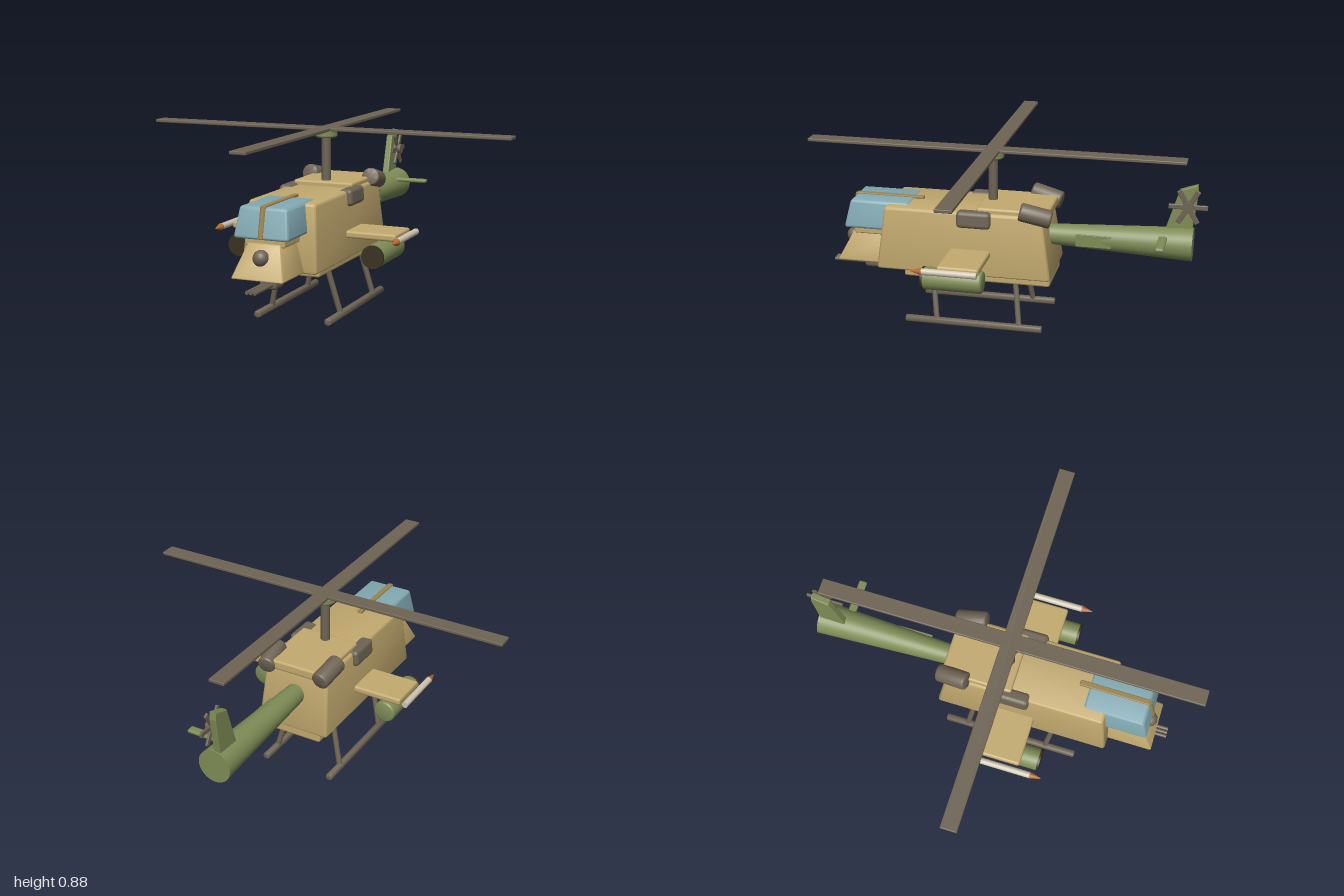
import * as THREE from 'three';
import { toCreasedNormals } from 'three/addons/utils/BufferGeometryUtils.js';
import { RoundedBoxGeometry } from 'three/addons/geometries/RoundedBoxGeometry.js';

const paint = (name, color) => {
  const m = new THREE.MeshStandardMaterial({ color });
  m.name = name;
  return m;
};

export function createModel() {
  const model = new THREE.Group();
  model.name = 'helicopter';

  const tan = paint('sand tan', 0xc3aa6f);
  const bronze = paint('bronze trim', 0x9c8450);
  const green = paint('olive green', 0x7f8c56);
  const grey = paint('warm grey', 0x6e6454);
  const glass = paint('canopy glass', 0x84abb4);
  const dark = paint('dark brown', 0x3b3120);
  const cream = paint('cream', 0xcfc6b2);
  const orange = paint('orange', 0xb8682f);

  const add = (name, geometry, material, x = 0, y = 0, z = 0, parent = model) => {
    const mesh = new THREE.Mesh(geometry, material);
    mesh.name = name;
    mesh.position.set(x, y, z);
    parent.add(mesh);
    return mesh;
  };

  // Rounded box spanning x, y and z ranges
  const block = (name, material, [x0, x1], [y0, y1], [z0, z1], r = 0.01, parent = model) =>
    add(name, new RoundedBoxGeometry(x1 - x0, y1 - y0, z1 - z0, 2, r), material,
      (x0 + x1) / 2, (y0 + y1) / 2, (z0 + z1) / 2, parent);

  // Rounded block tapering between bottom and top sections [y, halfWidth, zBack, zFront]
  const taperedBlock = (name, material, [y0, w0, b0, f0], [y1, w1, b1, f1], r) => {
    const h = y1 - y0, d = f0 - b0, mix = THREE.MathUtils.lerp;
    const g = new RoundedBoxGeometry(w0 * 2, h, d, 3, r);
    const p = g.attributes.position;
    for (let i = 0; i < p.count; i++) {
      const t = p.getY(i) / h + 0.5;
      p.setXYZ(i,
        p.getX(i) / w0 * mix(w0, w1, t),
        y0 + t * h,
        mix(mix(b0, b1, t), mix(f0, f1, t), p.getZ(i) / d + 0.5));
    }
    return add(name, toCreasedNormals(g, 0.6), material);
  };

  // Cylinder between two points
  const UP = new THREE.Vector3(0, 1, 0);
  const rod = (name, material, from, to, r0, r1 = r0, sides = 20, parent = model) => {
    const a = new THREE.Vector3(...from), b = new THREE.Vector3(...to);
    const dir = b.clone().sub(a);
    const mesh = add(name, new THREE.CylinderGeometry(r1, r0, dir.length(), sides), material, 0, 0, 0, parent);
    mesh.position.copy(a).add(b).multiplyScalar(0.5);
    mesh.quaternion.setFromUnitVectors(UP, dir.normalize());
    return mesh;
  };

  // Barrel with rounded rims between two points
  const barrel = (name, material, from, to, r, bevel) => {
    const a = new THREE.Vector3(...from), b = new THREE.Vector3(...to);
    const dir = b.clone().sub(a), h = dir.length() / 2, pts = [new THREE.Vector2(0, -h)];
    for (const s of [-1, 1]) {
      for (let i = 0; i <= 4; i++) {
        const q = (s < 0 ? i : 4 - i) / 4 * Math.PI / 2;
        pts.push(new THREE.Vector2(r - bevel + bevel * Math.sin(q), s * (h - bevel + bevel * Math.cos(q))));
      }
    }
    pts.push(new THREE.Vector2(0, h));
    const mesh = add(name, toCreasedNormals(new THREE.LatheGeometry(pts, 24), 0.7), material);
    mesh.position.copy(a).add(b).multiplyScalar(0.5);
    mesh.quaternion.setFromUnitVectors(UP, dir.normalize());
    return mesh;
  };

  // Fuselage
  taperedBlock('fuselage', tan, [0.275, 0.192, -0.27, 0.61], [0.595, 0.168, -0.22, 0.57], 0.015);
  block('belly', tan, [-0.148, 0.148], [0.23, 0.29], [-0.26, 0.48], 0.012);
  block('engineDeck', tan, [-0.155, 0.155], [0.57, 0.62], [-0.25, 0.105], 0.012);
  taperedBlock('nose', tan, [0.28, 0.13, 0.5, 0.835], [0.435, 0.08, 0.5, 0.755], 0.008);
  block('canopyBase', tan, [-0.1, 0.1], [0.42, 0.47], [0.5, 0.75], 0.008);
  add('noseSensor', new THREE.SphereGeometry(0.038, 24, 16), grey, 0, 0.375, 0.785);

  // Canopy with its centre frame strip
  taperedBlock('canopy', glass, [0.458, 0.137, 0.44, 0.793], [0.601, 0.117, 0.46, 0.76], 0.014);
  block('canopyTopStrip', bronze, [-0.014, 0.014], [0.59, 0.608], [0.41, 0.76], 0.004);
  rod('canopyFrontStrip', bronze, [0, 0.462, 0.786], [0, 0.6, 0.755], 0.015, 0.015, 8);

  // Chin gun
  block('gunTurret', grey, [-0.043, 0.043], [0.215, 0.285], [0.63, 0.725], 0.018);
  for (const x of [-0.02, 0, 0.02]) rod('gunBarrel', grey, [x, 0.24, 0.7], [x, 0.24, 0.89], 0.009, 0.009, 12);

  // Main rotor
  const rotorZ = 0.055;
  rod('mast', grey, [0, 0.59, rotorZ], [0, 0.85, rotorZ], 0.023);
  barrel('rotorHub', green, [0, 0.832, rotorZ], [0, 0.872, rotorZ], 0.055, 0.01);
  block('rotorBlades', grey, [-0.94, 0.94], [0.866, 0.882], [rotorZ - 0.04, rotorZ + 0.04], 0.004);
  block('rotorBlades', grey, [-0.04, 0.04], [0.866, 0.882], [rotorZ - 0.945, rotorZ + 0.945], 0.004);

  // Tail boom, fin and stabiliser
  rod('tailBoom', green, [0, 0.46, -0.2], [0, 0.46, -0.935], 0.049, 0.083, 32);
  block('boomPanel', green, [0.03, 0.062], [0.425, 0.487], [-0.545, -0.37], 0.002);
  block('stabiliser', green, [0.04, 0.23], [0.49, 0.51], [-0.815, -0.773], 0.009);
  const finShape = new THREE.Shape([[0.79, 0.5], [0.86, 0.73], [0.945, 0.76], [0.95, 0.72], [0.925, 0.5]]
    .map(([z, y]) => new THREE.Vector2(z, y)));
  const fin = new THREE.ExtrudeGeometry(finShape, {
    depth: 0.024, bevelEnabled: true, bevelSize: 0.004, bevelThickness: 0.005, bevelOffset: -0.004, bevelSegments: 2,
  });
  fin.rotateY(Math.PI / 2);
  add('tailFin', fin, green, -0.026, 0, 0);

  // Tail rotor
  const tailRotor = new THREE.Group();
  tailRotor.name = 'tailRotor';
  tailRotor.position.set(0.02, 0.655, -0.905);
  model.add(tailRotor);
  rod('tailRotorHub', grey, [-0.02, 0, 0], [0.022, 0, 0], 0.026, 0.026, 20, tailRotor);
  for (let i = 0; i < 3; i++) {
    const blade = block('tailRotorBlade', grey, [-0.006, 0.006], [-0.0125, 0.0125], [-0.094, 0.094], 0.004, tailRotor);
    blade.rotation.x = i * Math.PI / 3;
  }

  // Paired parts on both sides
  for (const s of [-1, 1]) {
    const span = (a, b) => (s > 0 ? [a, b] : [-b, -a]);

    // Engines
    const intake = block('engineIntake', grey, span(0.127, 0.195), [0.52, 0.604], [0.03, 0.2], 0.02);
    intake.rotation.z = s * 0.07;
    barrel('engineExhaust', grey, [s * 0.166, 0.622, -0.112], [s * 0.148, 0.585, -0.265], 0.045, 0.012);

    // Stub wing, pod and rocket
    block('stubWing', tan, span(0.1, 0.432), [0.375, 0.411], [0.03, 0.235], 0.012);
    barrel('weaponPod', green, [s * 0.35, 0.315, 0.025], [s * 0.35, 0.315, 0.322], 0.056, 0.012);
    rod('podFrontCap', dark, [s * 0.35, 0.315, 0.314], [s * 0.35, 0.315, 0.325], 0.056, 0.056, 24);
    rod('rocketBody', cream, [s * 0.461, 0.392, 0.03], [s * 0.461, 0.392, 0.298], 0.016);
    rod('rocketTip', orange, [s * 0.461, 0.392, 0.298], [s * 0.461, 0.392, 0.354], 0.018, 0.002);

    // Landing skid
    barrel('skid', grey, [s * 0.183, 0.018, -0.23], [s * 0.183, 0.018, 0.465], 0.018, 0.005);
    for (const z of [0.33, -0.09]) {
      rod('skidStrut', grey, [s * 0.125, 0.25, z + 0.005], [s * 0.182, 0.02, z - 0.025], 0.014, 0.014, 12);
    }
  }

  return model;
}
